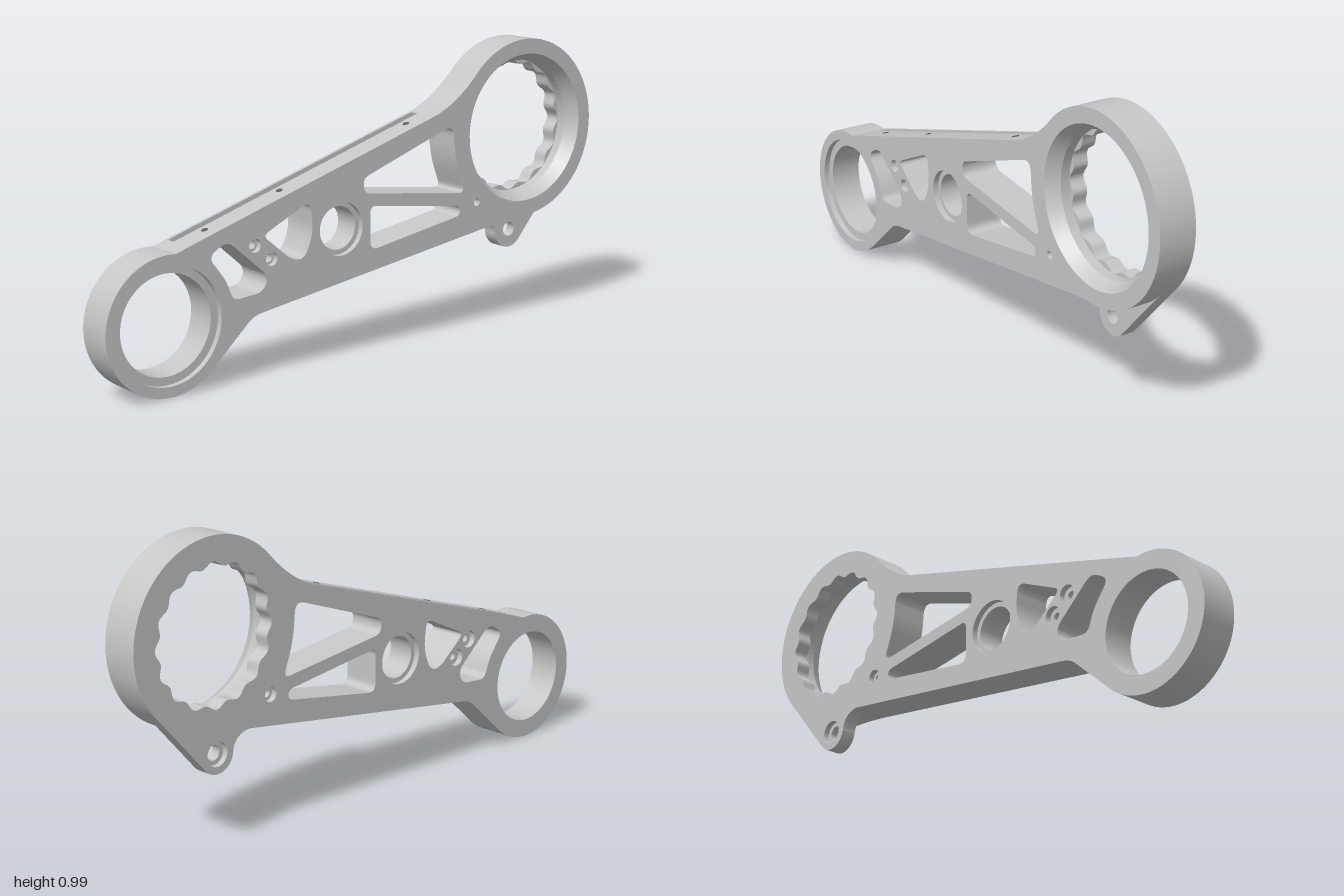
import * as THREE from 'three';

const SMALL = [-0.775, 0.225], BIG = [0.691, 0.679], HUB = [-0.115, 0.435], LUG = [0.692, 0.306];
const SMALL_R = 0.225, BIG_R = 0.309, BORE_R = 0.231, GROOVE = 0.02;
const rad = THREE.MathUtils.degToRad;
const topY = (x) => 0.47 + 0.305 * (x + 0.68);
const onRing = ([x, y], r, deg) => [x + r * Math.cos(rad(deg)), y + r * Math.sin(rad(deg))];

function circle([x, y], r) {
  return new THREE.Path().absarc(x, y, r, 0, Math.PI * 2, false);
}

// closed polygon with softened corners, counter-clockwise; each point is [x, y, corner radius]
function pocket(points) {
  const path = new THREE.Path();
  const n = points.length;
  const v = points.map((p) => new THREE.Vector2(p[0], p[1]));
  const toward = (a, b, r) => v[a].clone().add(v[b].clone().sub(v[a]).setLength(r));
  points.forEach((p, i) => {
    const a = toward(i, (i + n - 1) % n, p[2]), b = toward(i, (i + 1) % n, p[2]);
    if (i === 0) path.moveTo(a.x, a.y); else path.lineTo(a.x, a.y);
    path.quadraticCurveTo(p[0], p[1], b.x, b.y);
  });
  path.closePath();
  return path;
}

// wavy bore of the large ring
function scallopedBore() {
  const pts = [];
  for (let i = 0; i < 192; i++) {
    const a = (i / 192) * Math.PI * 2;
    const r = 0.222 + 0.008 * Math.cos(16 * a);
    pts.push(new THREE.Vector2(BIG[0] + r * Math.cos(a), BIG[1] + r * Math.sin(a)));
  }
  return new THREE.Path(pts);
}

const pockets = [
  [[-0.565, 0.335, 0.03], [-0.54, 0.268, 0.025], [-0.425, 0.277, 0.03],
    [-0.405, 0.325, 0.03], [-0.56, 0.462, 0.035], [-0.63, 0.42, 0.03]],
  [[-0.315, 0.365, 0.03], [-0.265, 0.355, 0.035], [-0.228, 0.44, 0.04], [-0.24, 0.545, 0.035], [-0.425, 0.458, 0.025]],
  [[-0.02, 0.54, 0.025], [0.415, 0.485, 0.03], [0.372, 0.6, 0.05], [0.36, 0.725, 0.04], [-0.025, 0.59, 0.025]],
  [[0.005, 0.345, 0.035], [0.395, 0.41, 0.02], [0.395, 0.443, 0.02], [0.005, 0.495, 0.025]],
];

// outside contour of one slice of the arm
function outline(withLug, withGroove) {
  const s = new THREE.Shape();
  s.moveTo(-0.48, 0.19);
  s.lineTo(...onRing(SMALL, SMALL_R, -47));
  s.absarc(...SMALL, SMALL_R, rad(-47), rad(-277), true);
  s.quadraticCurveTo(-0.725, 0.455, -0.7, topY(-0.7));
  if (withGroove) {
    s.lineTo(-0.694, topY(-0.7) - GROOVE);
    s.lineTo(0.281, topY(0.275) - GROOVE);
    s.lineTo(0.275, topY(0.275));
  }
  s.lineTo(0.28, topY(0.28));
  s.quadraticCurveTo(0.38, 0.797, ...onRing(BIG, BIG_R, 136));
  if (withLug) {
    s.absarc(...BIG, BIG_R, rad(136), rad(-45), true);
    s.absarc(...LUG, 0.064, rad(-45), rad(-175), true);
    s.quadraticCurveTo(0.62, 0.352, 0.56, 0.357);
  } else {
    s.absarc(...BIG, BIG_R, rad(136), rad(-88), true);
    s.quadraticCurveTo(0.65, 0.369, 0.56, 0.357);
  }
  s.lineTo(-0.425, 0.211);
  s.quadraticCurveTo(-0.46, 0.206, -0.48, 0.19);
  return s;
}

export function createModel() {
  const model = new THREE.Group();
  const metal = new THREE.MeshStandardMaterial({ color: 0xc6c6c6, side: THREE.DoubleSide });
  metal.name = 'grey metal';
  const dark = new THREE.MeshStandardMaterial({ color: 0x606060 });
  dark.name = 'dark hole';

  // slices from back to front, each with its own bore sizes
  const back = { lug: 0.04, hub: 0.088, bolt: 0.03, pin: 0.024, small: 0.163 };
  const web = { hub: 0.072, bolt: 0.014, pin: 0.013, small: 0.163 };
  const slices = [
    { ...back, name: 'backPlate', z: [-0.065, -0.053] },
    { ...back, name: 'groovedBackPlate', z: [-0.053, -0.045], groove: true },
    { ...web, name: 'groovedWeb', z: [-0.045, -0.021], groove: true, lug: 0.025 },
    { ...web, name: 'rearWeb', z: [-0.021, -0.013], lug: 0.025 },
    { ...web, name: 'middleWeb', z: [-0.013, 0.02], ring: BORE_R },
    { ...web, name: 'frontWeb', z: [0.02, 0.045], ring: 0.257 },
    { name: 'frontPlate', z: [0.045, 0.065], ring: 0.257, hub: 0.088, bolt: 0.022, pin: 0.013, small: 0.19 },
  ];
  for (const s of slices) {
    const shape = outline(!!s.lug, !!s.groove);
    shape.holes.push(
      circle(SMALL, s.small), circle(HUB, s.hub), circle([0.47, 0.445], s.pin),
      circle([-0.455, 0.43], s.bolt), circle([-0.392, 0.378], s.bolt),
      s.ring ? circle(BIG, s.ring) : scallopedBore(),
      ...pockets.map(pocket),
    );
    if (s.lug) shape.holes.push(circle(LUG, s.lug));
    const geo = new THREE.ExtrudeGeometry(shape, { depth: s.z[1] - s.z[0], bevelEnabled: false, curveSegments: 40 });
    geo.translate(0, 0, s.z[0]);
    const mesh = new THREE.Mesh(geo, metal);
    mesh.name = s.name;
    model.add(mesh);
  }

  // tapered mouth of the large ring, facing inward
  const mouthGeo = new THREE.CylinderGeometry(0.257, BORE_R, 0.045, 80, 1, true);
  mouthGeo.rotateX(Math.PI / 2);
  const mouth = new THREE.Mesh(mouthGeo, metal);
  mouth.name = 'taperedRingMouth';
  mouth.position.set(BIG[0], BIG[1], 0.0425);
  model.add(mouth);

  // pairs of small drilled holes: one on the sloping top edge, one on the groove floor
  const holeGeo = new THREE.CylinderGeometry(0.011, 0.011, 0.003, 16);
  for (const x of [-0.605, -0.32, 0.2]) {
    for (const [z, drop] of [[-0.037, GROOVE], [0.009, 0]]) {
      const hole = new THREE.Mesh(holeGeo, dark);
      hole.name = 'topEdgeHole';
      hole.position.set(x, topY(x) - drop, z);
      hole.rotation.z = Math.atan(0.305);
      model.add(hole);
    }
  }
  return model;
}
